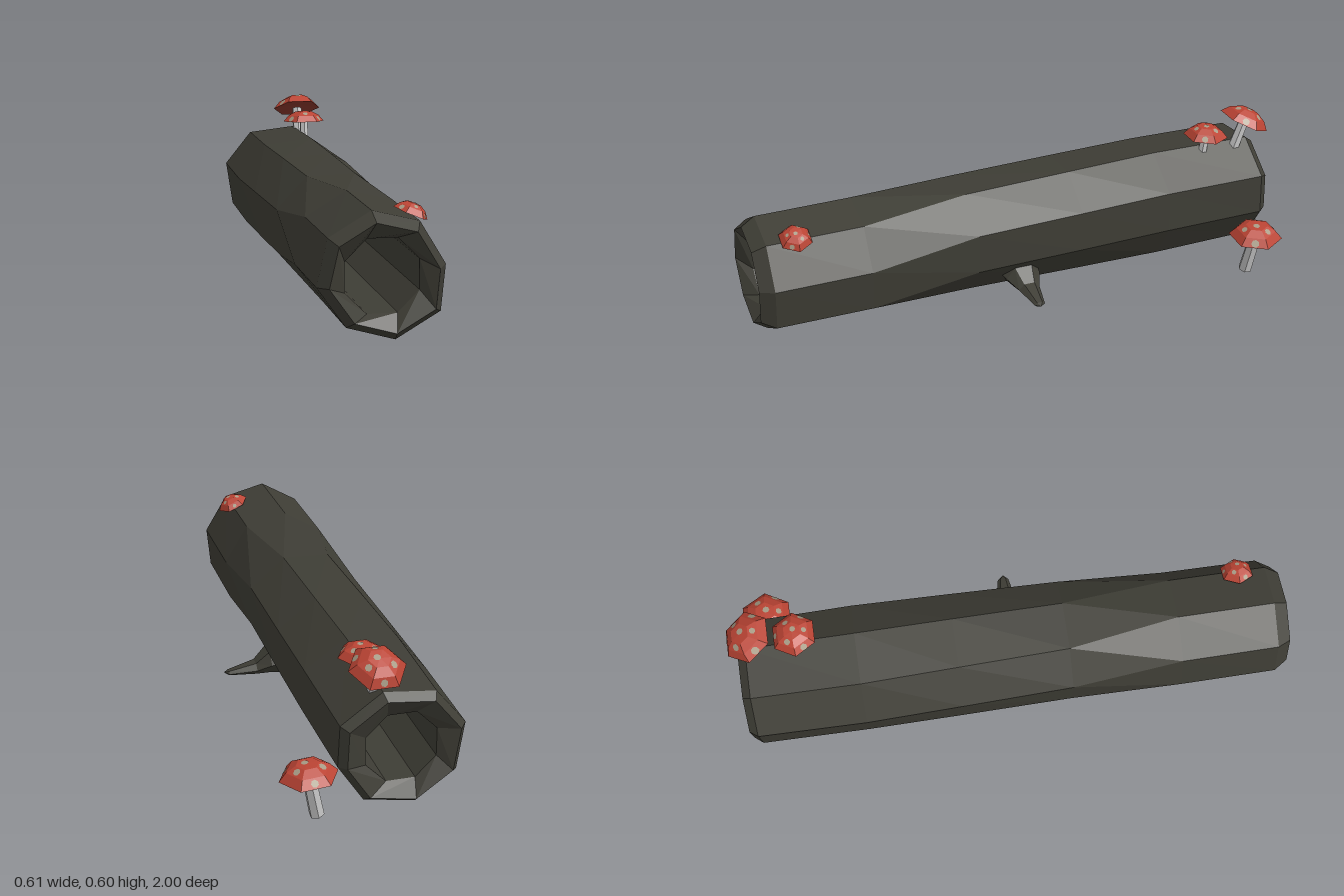
import * as THREE from 'three';

const mat = (name, color, side = THREE.FrontSide) => {
  const m = new THREE.MeshStandardMaterial({ color, flatShading: true, side });
  m.name = name;
  return m;
};

// Joins rings of equal point count into a skin; rings run away from the viewer who sees them counter-clockwise
function loft(rings, closed = false) {
  const pos = [];
  const n = rings[0].length;
  const last = closed ? rings.length : rings.length - 1;
  for (let i = 0; i < last; i++) {
    const p = rings[i], q = rings[(i + 1) % rings.length];
    for (let j = 0; j < n; j++) {
      const k = (j + 1) % n;
      for (const v of [p[j], q[j], p[k], p[k], q[j], q[k]]) pos.push(...v);
    }
  }
  const g = new THREE.BufferGeometry();
  g.setAttribute('position', new THREE.Float32BufferAttribute(pos, 3));
  g.computeVertexNormals();
  return g;
}

export function createModel() {
  const model = new THREE.Group();
  model.name = 'hollowLog';
  const bark = mat('dark bark', 0x3e3d35);
  const red = mat('cap red', 0xbb4434);
  const gill = mat('gill red', 0x8a382c);
  const pale = mat('spot beige', 0xa89c86, THREE.DoubleSide);
  const stemMat = mat('stem grey', 0xc6c6c6);
  const add = (parent, name, geometry, material) => {
    const m = new THREE.Mesh(geometry, material);
    m.name = name;
    parent.add(m);
    return m;
  };

  // Log: eight-sided outline that twists from front to back, with a straight bore
  const cx = -0.09, cy = 0.25;
  const front = [[0.115, 0.279], [0.03, 0.42], [-0.125, 0.459], [-0.264, 0.377],
    [-0.3, 0.222], [-0.206, 0.089], [-0.047, 0.043], [0.1, 0.128]];
  const back = [[0.125, 0.365], [-0.02, 0.468], [-0.204, 0.446], [-0.308, 0.315],
    [-0.28, 0.142], [-0.137, 0.042], [0.044, 0.077], [0.132, 0.215]];
  const outer = (z, t, s) => front.map(([x, y], i) => [
    cx + s * (x + (back[i][0] - x) * t - cx),
    cy + s * (y + (back[i][1] - y) * t - cy), z]);
  const bore = (z) => front.map((_, i) => {
    const a = (i + 0.5) * Math.PI / 4;
    return [cx + 0.13 * Math.cos(a), cy + 0.13 * Math.sin(a), z];
  });
  add(model, 'log', loft([
    bore(0.95), outer(1, 0, 0.85), outer(0.95, 0, 1), outer(0.6, 0.02, 1.01), outer(0.2, 0.75, 0.97),
    outer(-0.2, 0.88, 0.99), outer(-0.55, 1, 1), outer(-0.94, 0.97, 0.98), outer(-0.97, 0.97, 0.87), bore(-0.93),
  ], true), bark);

  // Broken branch stub on the left side, from tip to root: x, y, z, half height, half depth
  const stub = [[0.267, 0.095, 0.025, 0, 0], [0.25, 0.094, 0.023, 0.009, 0.02],
    [0.15, 0.105, 0.022, 0.024, 0.04], [0.1, 0.13, 0.025, 0.048, 0.065], [0.03, 0.14, 0.025, 0.065, 0.08]];
  add(model, 'branchStub', loft(stub.map(([x, y, z, h, d]) =>
    Array.from({ length: 6 }, (_, j) => {
      const a = j * Math.PI / 3;
      return [x, y + h * Math.sin(a), z - d * Math.cos(a)];
    }))), bark);

  // Mushroom: leaning stem from foot to cap, tilted faceted cap with thin spots
  function mushroom(name, foot, top, stemR, capR, capH, tiltX, tiltZ) {
    const g = new THREE.Group();
    g.name = name;
    model.add(g);
    const a = new THREE.Vector3(...foot), b = new THREE.Vector3(...top);
    const dir = b.clone().sub(a);
    const stem = add(g, 'stem', new THREE.CylinderGeometry(stemR * 0.9, stemR, dir.length(), 6), stemMat);
    stem.position.copy(a).lerp(b, 0.5);
    stem.quaternion.setFromUnitVectors(new THREE.Vector3(0, 1, 0), dir.normalize());

    const cap = new THREE.Group();
    cap.name = 'cap';
    cap.position.copy(b);
    cap.rotation.set(tiltX, 0, tiltZ);
    g.add(cap);
    const V = (r, h) => new THREE.Vector2(r * capR, h * capH);
    const profile = [V(1, 0), V(0.74, 0.6), V(0.4, 0.97), V(0, 1.02)];
    const lathe = (pts) => new THREE.LatheGeometry(pts, 6, Math.PI / 6);
    add(cap, 'capTop', lathe(profile), red);
    add(cap, 'gills', lathe([V(0, 0.3), V(1, 0)]), gill);

    // Spots lie on the facets: band, facet, position across the band, size
    const spots = [[0, 0, 0.45, 0.15], [0, 2, 0.5, 0.13], [0, 4, 0.45, 0.16], [1, 1, 0.5, 0.13],
      [1, 3, 0.5, 0.14], [1, 5, 0.5, 0.12], [2, 0, 0.75, 0.13]];
    for (const [band, facet, t, size] of spots) {
      const phi = Math.PI / 6 + (facet + 0.5) * Math.PI / 3;
      const f = Math.cos(Math.PI / 6);
      const p = profile[band], q = profile[band + 1];
      const r = (p.x + (q.x - p.x) * t) * f, y = p.y + (q.y - p.y) * t;
      const nr = q.y - p.y, ny = (p.x - q.x) * f;
      const n = new THREE.Vector3(nr * Math.sin(phi), ny, nr * Math.cos(phi)).normalize();
      const spot = add(cap, 'spot', new THREE.CircleGeometry(size * capR, 7), pale);
      spot.position.set(r * Math.sin(phi), y, r * Math.cos(phi)).addScaledVector(n, 0.0015);
      spot.quaternion.setFromUnitVectors(new THREE.Vector3(0, 0, 1), n);
    }
  }
  mushroom('groundMushroom', [0.172, 0.003, -0.865], [0.205, 0.16, -0.88], 0.026, 0.1, 0.048, 0, -0.08);
  mushroom('tallMushroom', [-0.008, 0.43, -0.88], [-0.006, 0.54, -0.92], 0.022, 0.096, 0.048, -0.45, 0);
  mushroom('smallMushroom', [-0.008, 0.43, -0.748], [-0.008, 0.507, -0.76], 0.018, 0.083, 0.04, -0.06, 0);
  mushroom('frontMushroom', [0.0, 0.39, 0.845], [0.026, 0.425, 0.845], 0.013, 0.061, 0.034, 0, -0.4);
  return model;
}
